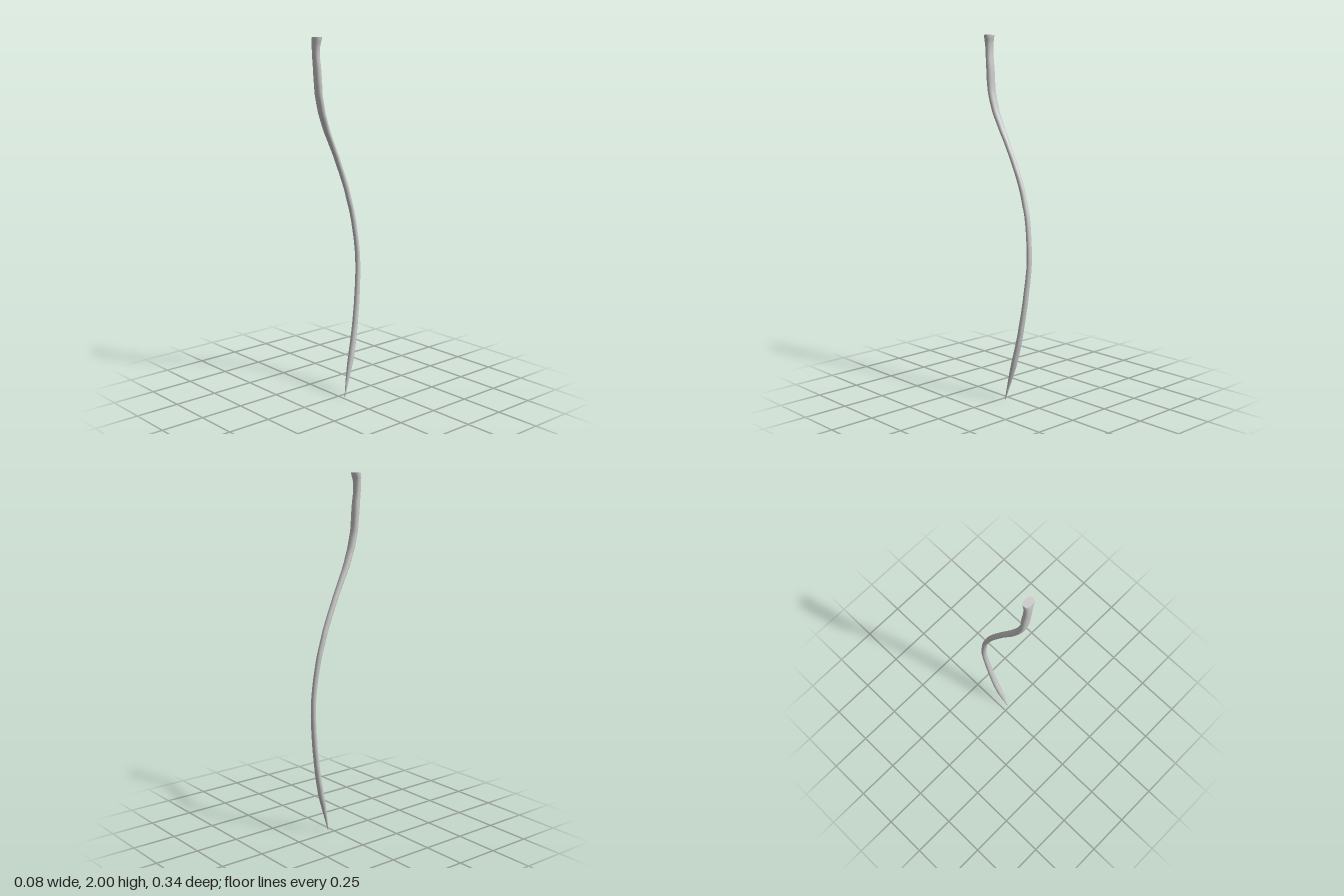
import * as THREE from 'three';

// Stations from tip to top: height, centre x, centre z, half width in x, half width in z
const STATIONS = [
  [0, 0.034, -0.018, 0.002, 0.002],
  [0.1, 0.027, -0.044, 0.010, 0.010],
  [0.2, 0.021, -0.071, 0.017, 0.016],
  [0.3, 0.015, -0.095, 0.018, 0.016],
  [0.4, 0.009, -0.115, 0.017, 0.015],
  [0.6, -0.002, -0.143, 0.016, 0.014],
  [0.8, -0.015, -0.155, 0.015, 0.013],
  [1.0, -0.025, -0.132, 0.015, 0.014],
  [1.1, -0.028, -0.107, 0.015, 0.015],
  [1.2, -0.028, -0.075, 0.015, 0.016],
  [1.3, -0.026, -0.033, 0.016, 0.016],
  [1.4, -0.022, 0.014, 0.017, 0.016],
  [1.5, -0.017, 0.064, 0.020, 0.017],
  [1.6, -0.010, 0.106, 0.023, 0.018],
  [1.7, -0.006, 0.131, 0.025, 0.018],
  [1.8, -0.006, 0.140, 0.025, 0.020],
  [1.9, -0.006, 0.149, 0.023, 0.019],
  [1.95, -0.006, 0.150, 0.025, 0.020],
  [1.985, -0.003, 0.147, 0.030, 0.023],
  [2, -0.002, 0.146, 0.031, 0.023],
];
const RINGS = 150, SIDES = 24;

export function createModel() {
  const group = new THREE.Group();
  const centres = new THREE.CatmullRomCurve3(
    STATIONS.map(([y, x, z]) => new THREE.Vector3(x, y, z)), false, 'catmullrom');
  const widths = new THREE.CatmullRomCurve3(
    STATIONS.map(([, , , rx, rz]) => new THREE.Vector3(rx, 0, rz)), false, 'catmullrom');
  const material = new THREE.MeshStandardMaterial({ color: 0xcccccc });

  // Level ring of the stalk, slightly grooved front and back towards the top
  const ringPoint = (t, angle) => {
    const c = centres.getPoint(t), w = widths.getPoint(t);
    const groove = 0.12 * THREE.MathUtils.smoothstep(c.y, 1.4, 2);
    const ripple = 1 + 0.025 * Math.sin(c.y * 47) * Math.sin(c.y * 19 + angle);
    const s = Math.sin(angle);
    const k = ripple * (1 - groove * Math.pow(Math.abs(s), 8));
    return [c.x + Math.cos(angle) * w.x * k, c.y, c.z - s * w.z * k];
  };

  // Curved, tapering stalk
  const positions = [], indices = [];
  for (let i = 0; i <= RINGS; i++) {
    for (let j = 0; j < SIDES; j++) {
      positions.push(...ringPoint(i / RINGS, (j / SIDES) * Math.PI * 2));
      if (i === RINGS) continue;
      const a = i * SIDES + j, b = i * SIDES + (j + 1) % SIDES;
      indices.push(a, b, a + SIDES, b, b + SIDES, a + SIDES);
    }
  }
  addMesh('stalk', positions, indices);

  // Flat end caps
  addCap('cutTop', 1);
  addCap('tip', 0);

  function addCap(name, t) {
    const points = centres.getPoint(t).toArray(), faces = [];
    for (let j = 0; j < SIDES; j++) {
      points.push(...ringPoint(t, (j / SIDES) * Math.PI * 2));
      const a = j + 1, b = (j + 1) % SIDES + 1;
      faces.push(0, ...(t === 1 ? [a, b] : [b, a]));
    }
    addMesh(name, points, faces);
  }

  function addMesh(name, points, faces) {
    const geometry = new THREE.BufferGeometry();
    geometry.setAttribute('position', new THREE.Float32BufferAttribute(points, 3));
    geometry.setIndex(faces);
    geometry.computeVertexNormals();
    const mesh = new THREE.Mesh(geometry, material);
    mesh.name = name;
    group.add(mesh);
  }

  return group;
}
